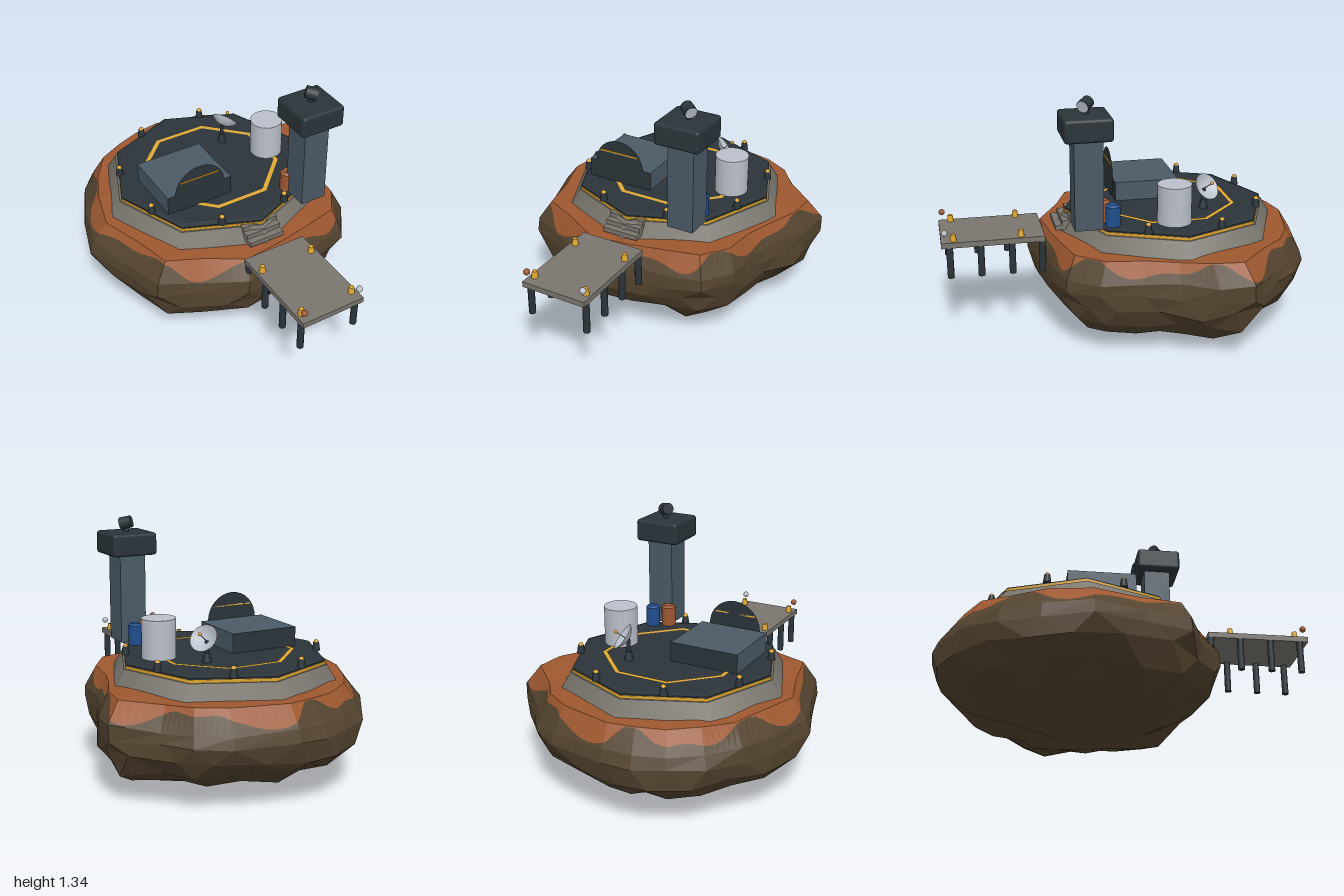
import * as THREE from 'three';
import { RoundedBoxGeometry } from 'three/addons/geometries/RoundedBoxGeometry.js';

const mat = (name, color, extra = {}) => {
  const m = new THREE.MeshStandardMaterial({ color, ...extra });
  m.name = name;
  return m;
};

// Flat-shaded surface from stacks of closed loops, listed top to bottom
function loft(...stacks) {
  const pos = [];
  for (const rows of stacks)
    for (let i = 0; i < rows.length - 1; i++)
      for (let j = 0; j < rows[i].length; j++) {
        const k = (j + 1) % rows[i].length;
        const a = rows[i][j], b = rows[i][k], c = rows[i + 1][j], d = rows[i + 1][k];
        const quad = i % 2 ? [a, b, c, b, d, c] : [a, b, d, a, d, c];
        for (const p of quad) pos.push(p.x, p.y, p.z);
      }
  const g = new THREE.BufferGeometry();
  g.setAttribute('position', new THREE.Float32BufferAttribute(pos, 3));
  g.computeVertexNormals();
  return g;
}

export function createModel() {
  const root = new THREE.Group();
  root.name = 'rockOutpost';
  const rock = mat('rockBrown', 0x54442f);
  const clay = mat('clayOrange', 0x9e5830);
  const stone = mat('concreteGrey', 0x7a766f);
  const dark = mat('darkPanel', 0x2b343a, { side: THREE.DoubleSide });
  const slate = mat('slateBlue', 0x4a5a66);
  const yellow = mat('signalYellow', 0xe0a830);
  const light = mat('lightMetal', 0xbac0ca, { side: THREE.DoubleSide });
  const blue = mat('barrelBlue', 0x1f4f8f);

  const add = (name, geo, material, x = 0, y = 0, z = 0, parent = root) => {
    const m = new THREE.Mesh(geo, material);
    m.name = name;
    m.position.set(x, y, z);
    parent.add(m);
    return m;
  };
  const cyl = (rt, rb, h, n = 16) => new THREE.CylinderGeometry(rt, rb, h, n);
  const box = (w, h, d) => new THREE.BoxGeometry(w, h, d);
  const ball = (r) => new THREE.SphereGeometry(r, 12, 8);
  const pointAlong = (m, x, y, z) =>
    m.quaternion.setFromUnitVectors(new THREE.Vector3(0, 1, 0), new THREE.Vector3(x, y, z).normalize());

  // Floating rock: one irregular outline scaled through several heights
  let seed = 7;
  const rnd = () => (seed = (seed * 16807) % 2147483647) / 2147483647;
  const CX = -0.01, CZ = -0.23;
  const outline = [
    [-0.02, -1], [0.31, -0.93], [0.47, -0.83], [0.58, -0.7], [0.775, -0.52], [0.75, -0.34], [0.68, -0.16],
    [0.62, 0.02], [0.59, 0.24], [0.48, 0.4], [0.3, 0.44], [0.06, 0.48], [-0.2, 0.52], [-0.44, 0.38],
    [-0.63, 0.29], [-0.69, 0.05], [-0.775, -0.21], [-0.71, -0.46], [-0.62, -0.66], [-0.5, -0.82], [-0.34, -0.92], [-0.18, -0.98],
  ];
  // height, scale, roughness, half-step stagger
  const levels = [
    [0.55, 0.3, 0, 0], [0.54, 0.89, 0.015, 0], [0.43, 0.985, 0.025, 0], [0.36, 1.003, 0.02, 0], [0.27, 0.99, 0.05, 0.5],
    [0.18, 0.89, 0.055, 0], [0.1, 0.72, 0.06, 0.5], [0.045, 0.46, 0.04, 0], [0.004, 0.2, 0.005, 0.5], [0, 0, 0, 0],
  ];
  const rings = levels.map(([y, s, rough, stagger]) => outline.map(([x, z], j) => {
    const [nx, nz] = outline[(j + 1) % outline.length];
    const k = s + (rnd() - 0.75) * rough;
    const t = stagger + (rnd() - 0.5) * stagger * 0.6;
    return new THREE.Vector3(
      (x + (nx - x) * t) * k + 0.09 * (1 - s),
      y + (rnd() - 0.5) * rough,
      CZ + (z + (nz - z) * t - CZ) * k + 0.1 * (1 - s));
  }));
  const SUB = 6;
  const fine = (ring) => ring.flatMap((p, j) => Array.from({ length: SUB }, (_, t) =>
    p.clone().lerp(ring[(j + 1) % ring.length], t / SUB)));
  const rim = fine(rings[1]), shoulder = fine(rings[2]);
  // scalloped lower edge of the clay layer
  const drip = rim.map((p, i) => {
    const a = (i / rim.length) * Math.PI * 2;
    const f = 0.44 + 0.32 * Math.sin(7 * a + 0.6) + 0.2 * Math.sin(12 * a + 1);
    return p.clone().lerp(shoulder[i], THREE.MathUtils.clamp(f, 0.04, 0.97));
  });
  add('clayCap', loft([fine(rings[0]), rim, drip]), clay);
  add('rockBody', loft([drip, shoulder], rings.slice(2)), rock);

  // Octagonal platform
  const octagon = (name, rt, rb, y0, y1, m) =>
    add(name, cyl(rt, rb, y1 - y0, 8), m, CX, (y0 + y1) / 2, CZ);
  octagon('platformSkirt', 0.565, 0.618, 0.535, 0.622, stone);
  octagon('platformTrim', 0.556, 0.556, 0.62, 0.638, yellow);
  octagon('deckEdge', 0.553, 0.553, 0.63, 0.645, dark);
  octagon('deck', 0.525, 0.55, 0.645, 0.654, dark);
  const marking = add('deckMarking', new THREE.RingGeometry(0.366, 0.391, 8, 1, Math.PI / 8), yellow, CX, 0.657, CZ);
  marking.rotation.x = -Math.PI / 2;

  // Edge lights, one in the middle of each deck side
  for (let i = 0; i < 8; i++) {
    const a = Math.PI / 8 + (i * Math.PI) / 4;
    const x = CX + 0.508 * Math.cos(a), z = CZ + 0.508 * Math.sin(a);
    add('edgeLightPost', cyl(0.015, 0.022, 0.045, 12), dark, x, 0.668, z);
    add('edgeLight', ball(0.014), yellow, x, 0.69, z);
  }

  // Hangar with round door panel
  add('hangar', box(0.385, 0.11, 0.355), [slate, slate, slate, slate, dark, dark], -0.223, 0.704, -0.14);
  add('hangarDoor', new THREE.CircleGeometry(0.15, 32), dark, -0.225, 0.755, 0.042);
  add('hangarStripe', box(0.236, 0.008, 0.006), yellow, -0.226, 0.833, 0.045);

  // Control tower and lookout camera
  add('towerShaft', box(0.147, 0.485, 0.15), slate, 0.313, 0.897, 0.255);
  add('towerHead', new RoundedBoxGeometry(0.254, 0.122, 0.25, 3, 0.018), dark, 0.313, 1.191, 0.26);
  add('cameraStand', cyl(0.012, 0.016, 0.04, 12), dark, 0.315, 1.265, 0.255);
  const camera = new THREE.Group();
  camera.name = 'lookoutCamera';
  camera.position.set(0.315, 1.3, 0.257);
  pointAlong(camera, 0.7, -0.22, 0.55);
  root.add(camera);
  add('cameraBody', cyl(0.034, 0.032, 0.062, 20), dark, 0, 0, 0, camera);
  add('cameraLens', cyl(0.031, 0.031, 0.004, 20), light, 0, 0.032, 0, camera);

  // Storage tank and barrels
  add('tank', cyl(0.09, 0.09, 0.21, 28), light, 0.344, 0.757, -0.2);
  for (const [m, x, z] of [[clay, 0.252, 0.162], [blue, 0.33, 0.122]]) {
    add('barrel', cyl(0.039, 0.039, 0.106, 18), m, x, 0.706, z);
    add('barrelShoulder', cyl(0.026, 0.039, 0.012, 18), m, x, 0.765, z);
  }

  // Satellite dish
  add('dishBase', cyl(0.014, 0.026, 0.05, 14), dark, 0.172, 0.677, -0.405);
  add('dishPost', cyl(0.011, 0.011, 0.08, 10), dark, 0.172, 0.725, -0.405);
  const dish = new THREE.Group();
  dish.name = 'dish';
  dish.position.set(0.174, 0.762, -0.402);
  pointAlong(dish, 0.68, 0.6, -0.42);
  root.add(dish);
  const bowl = [0, 0.25, 0.5, 0.75, 1].map((t) => new THREE.Vector2(0.075 * t, 0.036 * t * t));
  add('dishBowl', new THREE.LatheGeometry(bowl, 28), light, 0, 0, 0, dish);
  add('dishFeedRod', cyl(0.003, 0.003, 0.076, 6), light, 0, 0.038, 0, dish);
  add('dishFeed', ball(0.01), yellow, 0, 0.08, 0, dish);

  // Steps down from the platform
  for (let i = 0; i < 3; i++)
    add('step', box(0.205, 0.026, 0.15 - i * 0.037), stone, -0.015, 0.565 + i * 0.026, 0.315 - i * 0.0185);

  // Landing pier with legs, bollards and end lamps
  add('pierDeck', box(0.36, 0.03, 0.545), stone, -0.015, 0.54, 0.7275);
  for (const side of [-1, 1]) {
    for (const z of [0.47, 0.63, 0.795, 0.957])
      add('pierLeg', cyl(0.018, 0.018, 0.175, 12), dark, -0.015 + side * 0.162, 0.441, z);
    for (const z of [0.58, 0.935])
      add('bollard', cyl(0.013, 0.018, 0.036, 12), yellow, -0.015 + side * 0.15, 0.573, z);
    add('pierLamp', ball(0.017), side < 0 ? clay : light, -0.015 + side * 0.164, 0.605, 0.98);
  }
  return root;
}
